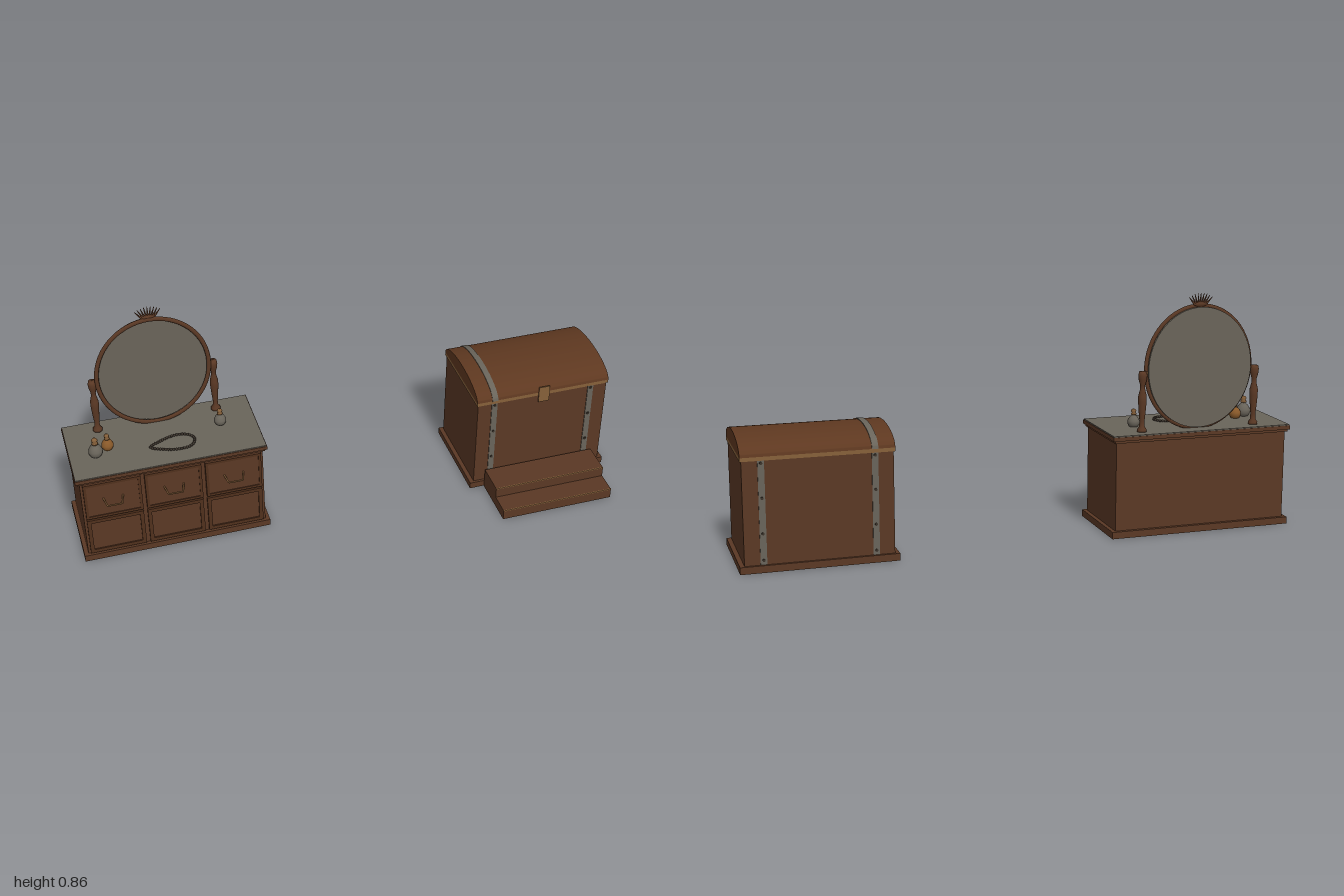
import * as THREE from 'three';
import { toCreasedNormals } from 'three/addons/utils/BufferGeometryUtils.js';

const mat = (name, color) => {
  const m = new THREE.MeshStandardMaterial({ color });
  m.name = name;
  return m;
};

export function createModel() {
  const wood = mat('wood', 0x5a3824);
  const darkWood = mat('dark wood', 0x50301c);
  const lidWood = mat('red wood', 0x5e3820);
  const grey = mat('stone grey', 0x69645a);
  const glass = mat('mirror glass', 0x6a6459);
  const brass = mat('brass', 0x86603a);
  const amber = mat('amber glass', 0x8a5a2a);
  const iron = mat('dark iron', 0x3c342c);

  const model = new THREE.Group();
  model.name = 'bedroomFurniture';

  function add(parent, name, geo, material, x = 0, y = 0, z = 0) {
    const m = new THREE.Mesh(geo, material);
    m.name = name;
    m.position.set(x, y, z);
    parent.add(m);
    return m;
  }
  // box given by its centre in x and z, and its bottom and top in y
  const box = (parent, name, material, w, y0, y1, d, x = 0, z = 0) =>
    add(parent, name, new THREE.BoxGeometry(w, y1 - y0, d), material, x, (y0 + y1) / 2, z);
  const lathe = (pts, seg = 20) =>
    new THREE.LatheGeometry(pts.map(([r, y]) => new THREE.Vector2(r, y)), seg);
  function rod(parent, name, material, a, b, r0, r1 = r0) {
    const va = new THREE.Vector3(...a), dir = new THREE.Vector3(...b).sub(va);
    const m = add(parent, name, new THREE.CylinderGeometry(r1, r0, dir.length(), 8), material);
    m.position.copy(va).addScaledVector(dir, 0.5);
    m.quaternion.setFromUnitVectors(new THREE.Vector3(0, 1, 0), dir.normalize());
  }
  // rectangular frame with an opening, extruded forwards
  function frame(w, h, border, depth) {
    const rect = (P, a, b) => new P([[-a, -b], [a, -b], [a, b], [-a, b]].map(p => new THREE.Vector2(...p)));
    const s = rect(THREE.Shape, w / 2, h / 2);
    s.holes.push(rect(THREE.Path, w / 2 - border, h / 2 - border));
    return new THREE.ExtrudeGeometry(s, { depth, bevelEnabled: false });
  }

  // ---- Dresser ----
  const dresser = new THREE.Group();
  dresser.name = 'dresser';
  dresser.position.set(-0.658, 0, -0.102);
  model.add(dresser);
  box(dresser, 'dresserPlinth', wood, 0.682, 0, 0.025, 0.316);
  box(dresser, 'dresserBody', wood, 0.652, 0.025, 0.35, 0.29);
  box(dresser, 'topMoulding', wood, 0.668, 0.345, 0.354, 0.304);
  box(dresser, 'topSlab', wood, 0.682, 0.354, 0.368, 0.316);
  box(dresser, 'marbleTop', grey, 0.678, 0.368, 0.372, 0.312);

  for (const x of [-0.216, 0, 0.216]) {
    box(dresser, 'drawerFront', wood, 0.202, 0.19, 0.342, 0.01, x, 0.149);
    add(dresser, 'drawerRim', frame(0.202, 0.152, 0.01, 0.003), darkWood, x, 0.266, 0.154);
    box(dresser, 'doorPanel', wood, 0.19, 0.034, 0.174, 0.004, x, 0.146);
    add(dresser, 'doorFrame', frame(0.202, 0.15, 0.014, 0.008), darkWood, x, 0.104, 0.145);
    // drop handle
    const p = [[-0.035, 0.272, 0.152], [-0.026, 0.259, 0.184], [0.026, 0.259, 0.184], [0.035, 0.272, 0.152]]
      .map(([px, py, pz]) => [px + x, py, pz]);
    for (let i = 0; i < 3; i++) rod(dresser, 'drawerHandle', brass, p[i], p[i + 1], 0.003);
  }

  // ---- Mirror on turned posts ----
  const mirror = new THREE.Group();
  mirror.name = 'mirror';
  mirror.position.set(0, 0, -0.106);
  dresser.add(mirror);
  const postShape = [[0, 0.37], [0.017, 0.37], [0.017, 0.38], [0.01, 0.39], [0.009, 0.41], [0.012, 0.44],
    [0.015, 0.48], [0.015, 0.5], [0.009, 0.525], [0.009, 0.54], [0.014, 0.557], [0.016, 0.575], [0.013, 0.588], [0, 0.59]];
  for (const s of [-1, 1]) {
    add(mirror, 'mirrorPost', lathe(postShape), wood, s * 0.216);
    rod(mirror, 'mirrorPivot', brass, [s * 0.195, 0.58, 0.004], [s * 0.222, 0.58, 0.004], 0.005);
  }
  const ring = add(mirror, 'mirrorFrame', new THREE.TorusGeometry(0.2, 0.008, 8, 64), wood, 0, 0.592, 0.01);
  ring.scale.set(1, 1.095, 0.75);
  const disc = new THREE.CylinderGeometry(0.197, 0.197, 0.008, 64).rotateX(Math.PI / 2);
  add(mirror, 'mirrorGlass', disc, glass, 0, 0.592, -0.004).scale.y = 1.1;

  // fan-shaped crest
  for (let i = -4; i <= 4; i++) {
    const a = i * 0.22;
    rod(mirror, 'crestLeaf', wood, [i * 0.005, 0.815, 0.006],
      [i * 0.005 + Math.sin(a) * 0.032, 0.818 + Math.cos(a) * 0.04, 0.002], 0.0045, 0.001);
  }
  add(mirror, 'crestBase', new THREE.SphereGeometry(0.02, 16, 8), wood, 0, 0.818, 0.006).scale.set(1.3, 0.5, 0.35);

  // ---- Perfume bottles ----
  const bottleShape = [[0, 0], [0.018, 0], [0.024, 0.012], [0.024, 0.024], [0.017, 0.038], [0.008, 0.045], [0.008, 0.05], [0, 0.05]];
  const stopperShape = [[0, 0.048], [0.011, 0.048], [0.011, 0.053], [0.007, 0.056], [0.011, 0.063], [0.007, 0.07], [0, 0.071]];
  for (const [x, z, k, m] of [[-0.246, 0.035, 1.04, grey], [-0.2, 0.009, 0.88, amber], [0.212, -0.016, 0.9, grey]]) {
    const b = new THREE.Group();
    b.name = 'perfumeBottle';
    b.position.set(x, 0.372, z);
    b.scale.setScalar(k);
    dresser.add(b);
    add(b, 'bottleBody', lathe(bottleShape), m);
    add(b, 'bottleStopper', lathe(stopperShape, 12), brass);
  }

  // ---- Bead necklace in a teardrop loop ----
  const bead = new THREE.SphereGeometry(0.0052, 8, 6);
  const loop = new THREE.CatmullRomCurve3([[-0.056, 0.052], [-0.01, 0.025], [0.04, 0.009], [0.085, 0.018],
    [0.104, 0.048], [0.085, 0.082], [0.04, 0.09], [-0.01, 0.078]].map(([x, z]) => new THREE.Vector3(x, 0.376, z)), true);
  loop.getSpacedPoints(40).slice(0, 40).forEach(p => add(dresser, 'necklaceBead', bead, iron, p.x, p.y, p.z));

  // ---- Domed chest ----
  const chest = new THREE.Group();
  chest.name = 'chest';
  chest.position.set(0.727, 0, -0.1);
  model.add(chest);
  box(chest, 'chestPlinth', wood, 0.54, 0, 0.025, 0.354);
  box(chest, 'chestBody', wood, 0.508, 0.025, 0.38, 0.336);
  box(chest, 'lidRim', brass, 0.518, 0.38, 0.393, 0.344);

  // half-ellipse section swept along x
  function dome(a, h, width) {
    const s = new THREE.Shape();
    s.absellipse(0, 0, a, h, 0, Math.PI, false);
    const g = new THREE.ExtrudeGeometry(s, { depth: width, bevelEnabled: false, curveSegments: 32 });
    return toCreasedNormals(g.translate(0, 0, -width / 2).rotateY(Math.PI / 2), 0.6);
  }
  add(chest, 'chestLid', dome(0.172, 0.057, 0.518), lidWood, 0, 0.393);
  add(chest, 'lidStrap', dome(0.175, 0.06, 0.022), grey, -0.19, 0.393);

  // iron straps and studs on front and back
  for (const sx of [-0.19, 0.19]) for (const sz of [-1, 1]) {
    box(chest, 'bodyStrap', grey, 0.022, 0.026, 0.38, 0.004, sx, sz * 0.169);
    for (const y of [0.042, 0.133, 0.253, 0.372])
      add(chest, 'strapStud', new THREE.CylinderGeometry(0.005, 0.005, 0.006, 10).rotateX(Math.PI / 2), iron, sx, y, sz * 0.172);
  }
  box(chest, 'clasp', brass, 0.042, 0.355, 0.42, 0.004, 0, 0.177);

  // ---- Steps in front of the chest ----
  box(chest, 'upperStep', wood, 0.43, 0, 0.08, 0.117, 0, 0.2385);
  box(chest, 'lowerStep', wood, 0.43, 0, 0.04, 0.081, 0, 0.3375);
  box(chest, 'upperStepTrim', brass, 0.43, 0.077, 0.081, 0.004, 0, 0.296);
  box(chest, 'lowerStepTrim', brass, 0.43, 0.037, 0.041, 0.004, 0, 0.377);

  return model;
}
